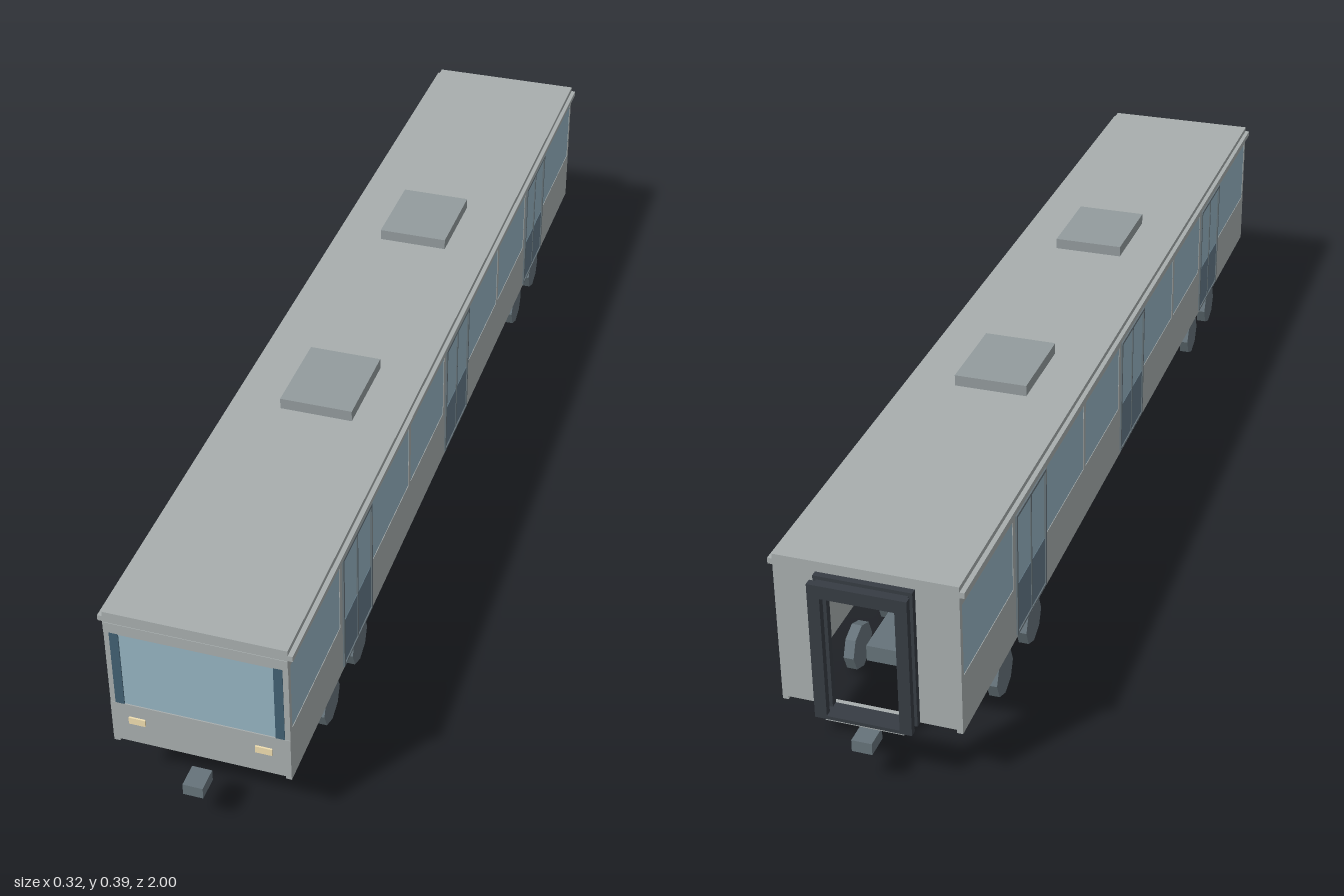
import * as THREE from 'three';

const mat = (color) => new THREE.MeshStandardMaterial({ color });
const body = mat(0xa8aeae), glass = mat(0x96b4c2), darkGlass = mat(0x426072), doorBlue = mat(0x627886);
const steel = mat(0x66737a), rubber = mat(0x363c43), lamp = mat(0xf0deb0);

export function createModel() {
  const model = new THREE.Group();

  const add = (parent, name, geometry, material) => {
    const mesh = new THREE.Mesh(geometry, material);
    mesh.name = name;
    parent.add(mesh);
    return mesh;
  };
  // Box given by its min and max on each axis
  const box = (parent, name, material, x0, x1, y0, y1, z0, z1) => {
    const mesh = add(parent, name, new THREE.BoxGeometry(x1 - x0, y1 - y0, z1 - z0), material);
    mesh.position.set((x0 + x1) / 2, (y0 + y1) / 2, (z0 + z1) / 2);
    return mesh;
  };
  // Plate in the xy plane with rectangular holes, each [x0, x1, y0, y1]
  const rect = (Type, [x0, x1, y0, y1]) => new Type([
    new THREE.Vector2(x0, y0), new THREE.Vector2(x1, y0),
    new THREE.Vector2(x1, y1), new THREE.Vector2(x0, y1)]);
  const plate = (outer, holes, depth) => {
    const shape = rect(THREE.Shape, outer);
    shape.holes = holes.map((h) => rect(THREE.Path, h));
    return new THREE.ExtrudeGeometry(shape, { depth, bevelEnabled: false });
  };

  // Side walls with doors and windows
  const doorCentres = [-0.618, 0, 0.618], doorHalf = 0.078;
  const windows = [];
  for (const [a, b] of [[0.09, 0.305], [0.317, 0.53], [0.708, 0.945]])
    windows.push([a, b, 0.206, 0.335], [-b, -a, 0.206, 0.335]);
  const doors = doorCentres.map((z) => [z - doorHalf, z + doorHalf, 0.109, 0.339]);

  for (const side of [-1, 1]) {
    const wall = new THREE.Group();
    wall.name = side > 0 ? 'leftSide' : 'rightSide';
    model.add(wall);
    const xBox = (name, m, a, b, ...rest) =>
      box(wall, name, m, Math.min(side * a, side * b), Math.max(side * a, side * b), ...rest);

    const panel = plate([-0.955, 0.955, 0.102, 0.353], [...windows, ...doors], 0.01);
    panel.rotateY(-Math.PI / 2).translate(side > 0 ? 0.15 : -0.14, 0, 0);
    add(wall, 'sideWall', panel, body);
    for (const [z0, z1, y0, y1] of windows) xBox('sideWindow', glass, 0.142, 0.149, y0, y1, z0, z1);

    for (const [z0, z1, y0, y1] of doors) {
      const frame = plate([z0, z1, y0, y1],
        [[z0 + 0.005, z1 - 0.005, y0 + 0.004, y1 - 0.005]], 0.014);
      frame.rotateY(-Math.PI / 2).translate(side > 0 ? 0.153 : -0.139, 0, 0);
      add(wall, 'doorFrame', frame, steel);
      const mid = (z0 + z1) / 2;
      for (const [a, b] of [[z0 + 0.005, mid - 0.001], [mid + 0.001, z1 - 0.005]]) {
        xBox('doorLeaf', doorBlue, 0.143, 0.151, y0 + 0.004, 0.204, a, b);
        xBox('doorWindow', glass, 0.143, 0.15, 0.204, y1 - 0.005, a, b);
      }
      xBox('doorSeal', steel, 0.143, 0.152, y0 + 0.004, y1 - 0.005, mid - 0.002, mid + 0.002);
    }
    xBox('roofGutter', body, 0.148, 0.158, 0.354, 0.364, -0.955, 0.955);

    // Cab corner pillars and headlights
    xBox('cabPillar', darkGlass, 0.126, 0.141, 0.187, 0.334, 0.944, 0.956);
    xBox('headlight', lamp, 0.092, 0.12, 0.149, 0.162, 0.95, 0.959);
    // Rear end panels beside the gangway
    xBox('rearPanel', body, 0.065, 0.14, 0.108, 0.353, -0.955, -0.945);
  }

  // Cab front
  box(model, 'frontPanel', body, -0.15, 0.15, 0.108, 0.187, 0.945, 0.956);
  box(model, 'frontHeader', body, -0.15, 0.15, 0.333, 0.353, 0.945, 0.956);
  box(model, 'windshield', glass, -0.127, 0.127, 0.187, 0.333, 0.947, 0.954);
  box(model, 'rearHeader', body, -0.065, 0.065, 0.333, 0.353, -0.955, -0.945);

  // Roof and its equipment boxes
  box(model, 'roof', body, -0.15, 0.15, 0.352, 0.373, -0.955, 0.955);
  for (const z of [-0.295, 0.295])
    box(model, 'roofUnit', steel.clone(), -0.065, 0.065, 0.372, 0.393, z - 0.083, z + 0.083)
      .material.color.set(0x939b9d);

  // Gangway: a stack of ribbed frames
  const gangway = new THREE.Group();
  gangway.name = 'gangway';
  model.add(gangway);
  for (let i = 0; i < 3; i++) {
    const inset = i === 1 ? 0.006 : 0;
    const rib = plate([-0.08 + inset, 0.08 - inset, 0.108, 0.355 - inset],
      [[-0.06 - inset, 0.06 + inset, 0.114, 0.332 + inset]], 0.012);
    add(gangway, 'gangwayRib', rib.translate(0, 0, -0.99 + i * 0.012), rubber);
  }
  box(gangway, 'gangwaySill', body, -0.065, 0.065, 0.102, 0.113, -0.985, -0.945);

  // Couplers and bogies
  for (const end of [-1, 1]) {
    box(model, 'coupler', steel, -0.017, 0.017, 0.064, 0.085, end * 0.979 - 0.021, end * 0.979 + 0.021);

    const bogie = new THREE.Group();
    bogie.name = end > 0 ? 'frontBogie' : 'rearBogie';
    bogie.position.z = end * 0.635;
    model.add(bogie);
    box(bogie, 'bogieFrame', steel, -0.098, 0.098, 0.036, 0.066, -0.107, 0.107);
    const wheelMat = steel.clone();
    wheelMat.flatShading = true;
    for (const x of [-0.126, 0.126]) for (const z of [-0.077, 0.077]) {
      const wheel = new THREE.CylinderGeometry(0.041, 0.041, 0.018, 8).rotateZ(Math.PI / 2);
      add(bogie, 'wheel', wheel, wheelMat).position.set(x, 0.041, z);
    }
  }
  return model;
}
